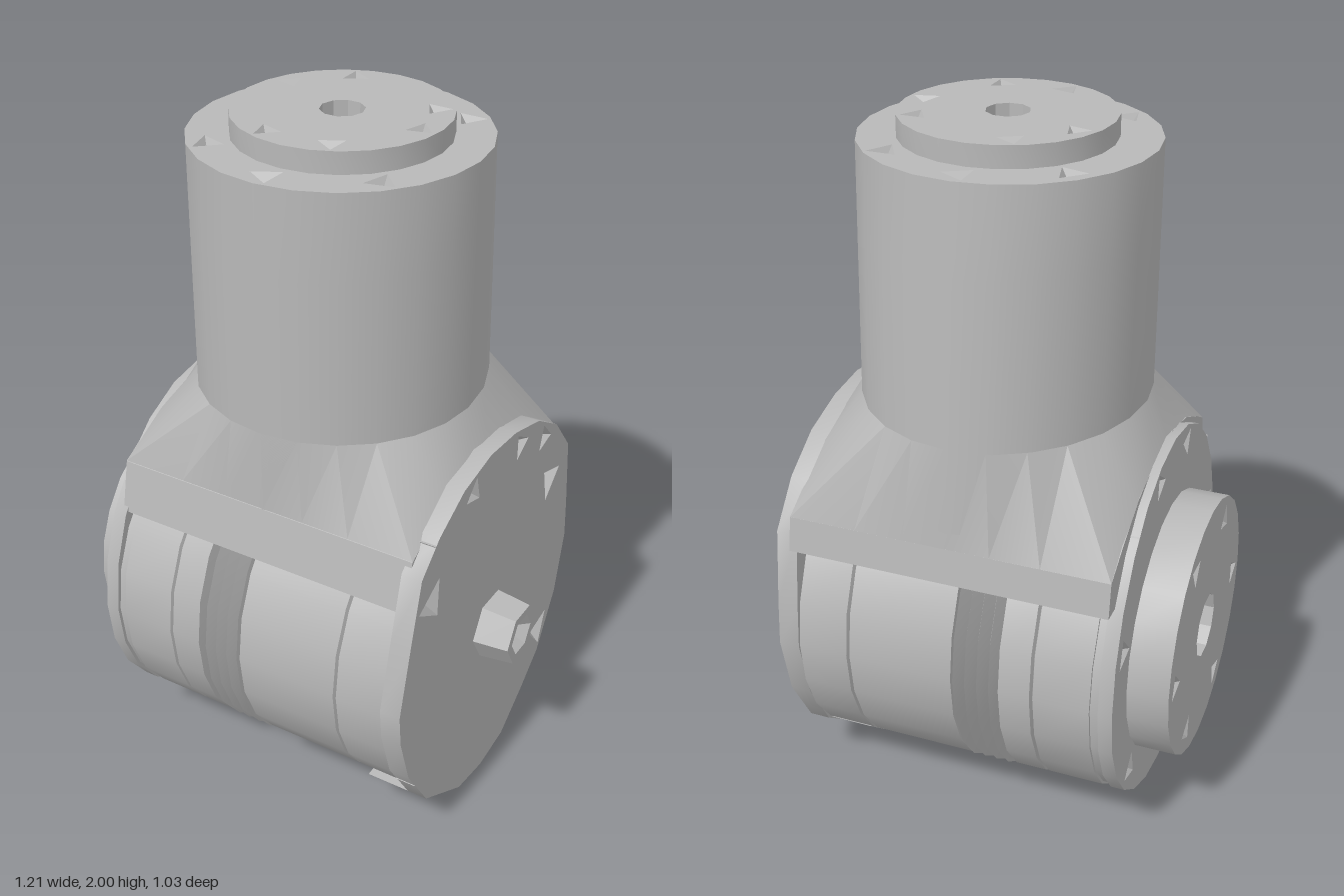
import * as THREE from 'three';
import { toCreasedNormals } from 'three/addons/utils/BufferGeometryUtils.js';

const metal = new THREE.MeshStandardMaterial({ color: 0xb8b8b8, side: THREE.DoubleSide });
metal.name = 'plain metal grey';

const AXIS = 0.55; // height of the drum axis
const SIDES = 24;

function add(parent, name, geometry, crease = 0.6) {
  const mesh = new THREE.Mesh(toCreasedNormals(geometry, crease), metal);
  mesh.name = name;
  parent.add(mesh);
  return mesh;
}

function circle(r, cy = 0, n = SIDES) {
  return Array.from({ length: n }, (_, i) => {
    const a = (i / n) * Math.PI * 2;
    return new THREE.Vector2(Math.cos(a) * r, cy + Math.sin(a) * r);
  });
}

// Plate in its own xy plane, front at z = depth, with three-sided screw pockets [x, y, radius]
function pocketPlate(name, outline, depth, pockets, bore) {
  const group = new THREE.Group();
  group.name = name;
  const shape = new THREE.Shape(outline);
  if (bore) shape.holes.push(new THREE.Path(bore));
  const dents = [];
  pockets.forEach(([x, y, r], i) => {
    const corners = [0, 1, 2].map(k => {
      const a = i * 1.3 + (k * Math.PI * 2) / 3;
      return new THREE.Vector2(x + Math.cos(a) * r, y + Math.sin(a) * r);
    });
    shape.holes.push(new THREE.Path(corners));
    corners.forEach((c, k) => {
      const d = corners[(k + 1) % 3];
      dents.push(c.x, c.y, depth, d.x, d.y, depth, x, y, depth - r * 0.7);
    });
  });
  add(group, name + 'Body', depth > 0
    ? new THREE.ExtrudeGeometry(shape, { depth, bevelEnabled: false })
    : new THREE.ShapeGeometry(shape));
  const g = new THREE.BufferGeometry();
  g.setAttribute('position', new THREE.Float32BufferAttribute(dents, 3));
  add(group, name + 'Pockets', g, 0.1);
  return group;
}

// Closed rings of equal length joined into a skin
function loft(rings) {
  const n = rings[0].length, index = [];
  for (let j = 0; j < rings.length - 1; j++)
    for (let i = 0; i < n; i++) {
      const a = j * n + i, b = j * n + (i + 1) % n;
      index.push(a, a + n, b, b, a + n, b + n);
    }
  const g = new THREE.BufferGeometry();
  g.setAttribute('position', new THREE.Float32BufferAttribute(rings.flat(2), 3));
  g.setIndex(index);
  return g;
}

const vectors = list => list.map(([x, y]) => new THREE.Vector2(x, y));
const polar = (r, cy, size, angles) => angles.map(d => {
  const a = (d * Math.PI) / 180;
  return [Math.cos(a) * r, cy + Math.sin(a) * r, size];
});

export function createModel() {
  const model = new THREE.Group();
  model.name = 'swivelJoint';

  // Drum with seams and a pleated seal
  const drumProfile = [[0, -0.46], [0.5, -0.46], [0.5, -0.42], [0.508, -0.42],
    [0.508, -0.26], [0.495, -0.255], [0.508, -0.25], [0.508, -0.16]];
  for (let i = 0; i < 4; i++) {
    const x = -0.15 + i * 0.035;
    drumProfile.push([0.46, x], [0.512, x + 0.017]);
  }
  drumProfile.push([0.46, -0.02], [0.508, -0.02], [0.508, 0.285], [0.495, 0.29],
    [0.508, 0.295], [0.508, 0.44], [0, 0.44]);
  const drum = add(model, 'drum',
    new THREE.LatheGeometry(vectors(drumProfile), SIDES).rotateZ(-Math.PI / 2));
  drum.position.y = AXIS;

  // Saddle over the drum, drawn as (-z, y)
  const saddleShape = new THREE.Shape(vectors([[-0.43, 0.85], [0.49, 0.85], [0.475, 0.95],
    [0.38, 1.01], [0.25, 1.08], [0.1, 1.12], [-0.05, 1.13], [-0.2, 1.1], [-0.33, 1.04], [-0.4, 1.0]]));
  const saddle = add(model, 'saddle',
    new THREE.ExtrudeGeometry(saddleShape, { depth: 0.92, bevelEnabled: false }).rotateY(Math.PI / 2));
  saddle.position.x = -0.46;

  // Tower, upright in front and sloping at the back
  const towerRing = y => circle(0.4).map(p =>
    [p.x, y, p.y < 0 ? p.y * (1 + (1.94 - y) * 0.2) : p.y]);
  add(model, 'tower', loft([1.0, 1.2, 1.45, 1.7, 1.94].map(towerRing)));

  // Fillet spreading from the round tower to the square saddle
  const skirt = circle(1).map(p => {
    const m = Math.max(Math.abs(p.x), Math.abs(p.y));
    const z = (p.y / m) * (p.y < 0 ? 0.475 : 0.4);
    return [(p.x / m) * 0.46, 1.13 - 0.8 * z * z, z];
  });
  add(model, 'fillet', loft([skirt, towerRing(1.24)]), 0.4);

  // Top face of the tower and its raised cap
  const top = pocketPlate('towerTop', circle(0.4), 0,
    polar(0.345, 0, 0.047, [90, 136, 45, -42, -90, -135]));
  top.rotation.x = -Math.PI / 2;
  top.position.y = 1.94;
  const cap = pocketPlate('cap', circle(0.29), 0.06,
    polar(0.24, 0, 0.04, [113, 156, 30, -5, -65, -110]), circle(0.06, 0, 10));
  cap.rotation.x = -Math.PI / 2;
  cap.position.set(0.005, 1.94, 0);
  model.add(top, cap);

  // Right-hand oval cover, drawn as (-z, y)
  const cover = vectors([[0, 0], [0.14, 0.02], [0.27, 0.11], [0.37, 0.19], [0.47, 0.36],
    [0.515, 0.55], [0.505, 0.68], [0.48, 0.9], [0.38, 1.02], [0.25, 1.1], [0.1, 1.14],
    [-0.05, 1.15], [-0.2, 1.12], [-0.33, 1.05], [-0.42, 0.97], [-0.47, 0.78],
    [-0.52, 0.58], [-0.51, 0.48], [-0.46, 0.32], [-0.35, 0.15], [-0.14, 0.02]]);
  const leftCover = pocketPlate('leftCover', cover, 0.06,
    [[0.14, 1.08, 0.045], [-0.14, 1.08, 0.045], [-0.31, 1.01, 0.05], [0.3, 1.02, 0.045],
      [-0.36, 0.86, 0.07], [0.36, 0.84, 0.065], [-0.36, 0.29, 0.07], [0.36, 0.28, 0.065]]);
  leftCover.rotation.y = Math.PI / 2;
  leftCover.position.x = 0.44;
  model.add(leftCover);

  // Foot under that cover
  const footShape = new THREE.Shape(vectors([[-0.35, 0.15], [-0.14, 0.02], [0, 0],
    [0.14, 0.02], [0.27, 0.11], [0.35, 0.18]]));
  const foot = add(model, 'foot',
    new THREE.ExtrudeGeometry(footShape, { depth: 0.15, bevelEnabled: false }).rotateY(Math.PI / 2));
  foot.position.x = 0.31;

  // Opposite cover, round below and arched above, drawn as (z, y)
  const flange = circle(0.51, AXIS).map(p =>
    p.y > AXIS ? new THREE.Vector2(p.x, AXIS + (p.y - AXIS) * 1.15) : p);
  const rightCover = pocketPlate('rightCover', flange, 0.04,
    polar(0.445, AXIS, 0.05, [-45, -135, 20, 160, -90])
      .concat([[0.32, 0.95, 0.055], [-0.32, 0.95, 0.055], [0.13, 1.06, 0.045], [-0.13, 1.06, 0.045]]));
  rightCover.rotation.y = -Math.PI / 2;
  rightCover.position.x = -0.445;

  // Output disc with a centre bore
  const disc = pocketPlate('outputDisc', circle(0.38, AXIS), 0.12,
    polar(0.31, AXIS, 0.045, [0, 60, 120, 180, 240, 300]), circle(0.095, AXIS, 10));
  disc.rotation.y = -Math.PI / 2;
  disc.position.x = -0.483;
  model.add(rightCover, disc);

  // Six-sided shaft stub with a socket
  const stub = add(model, 'shaftStub', new THREE.LatheGeometry(
    vectors([[0.1, 0], [0.088, 0.105], [0.06, 0.105], [0, 0.04]]), 6).rotateZ(-Math.PI / 2), 0.3);
  stub.position.set(0.498, AXIS, 0);

  return model;
}
